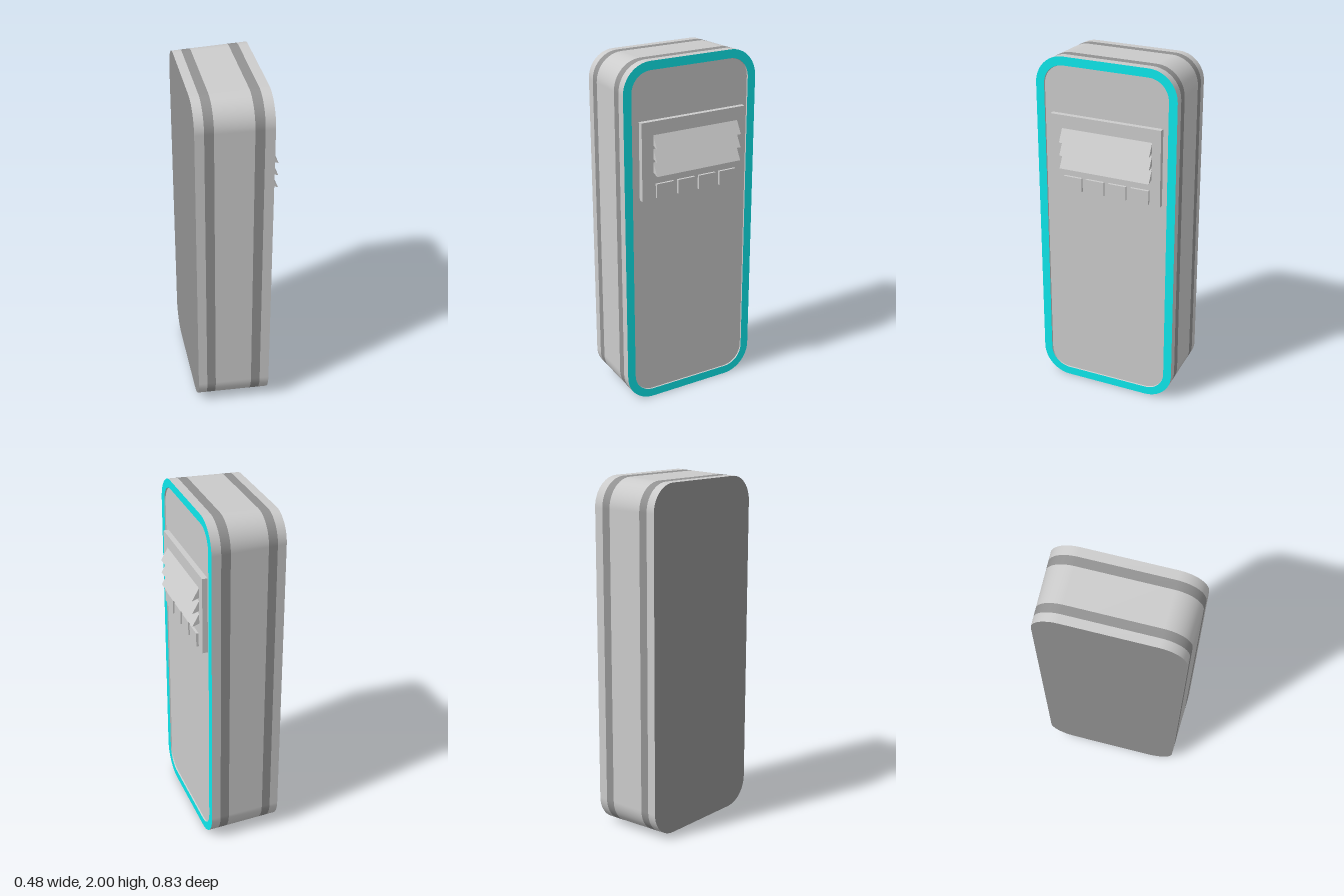
import * as THREE from 'three';

const BACK = -0.24, FRONT = 0.175, PANEL = 0.168;
const grey = new THREE.MeshStandardMaterial({ color: 0xcccccc });
const dark = new THREE.MeshStandardMaterial({ color: 0x929292 });
const cyan = new THREE.MeshStandardMaterial({ color: 0x0ee8ec });
const inner = new THREE.MeshStandardMaterial({ color: 0xcccccc, side: THREE.DoubleSide });

// Rounded rectangle outline, counter-clockwise, centred on the origin
function outline(inset, radius = 0.165 - inset) {
  const w = 0.415 - inset - radius, h = 1 - inset - radius, pts = [], n = 12;
  [[w, h], [-w, h], [-w, -h], [w, -h]].forEach(([cx, cy], q) => {
    for (let i = 0; i <= n; i++) {
      const a = (q + i / n) * Math.PI / 2;
      pts.push(new THREE.Vector2(cx + radius * Math.cos(a), cy + radius * Math.sin(a)));
    }
  });
  return pts;
}

// Wall between two outlines standing at x0 and x1
function wall(x0, inset0, x1, inset1) {
  const pos = [], index = [], a = outline(inset0), b = outline(inset1), n = a.length;
  a.forEach((p) => pos.push(x0, p.y + 1, -p.x));
  b.forEach((p) => pos.push(x1, p.y + 1, -p.x));
  for (let i = 0; i < n; i++) {
    const j = (i + 1) % n;
    index.push(i, j, n + j, i, n + j, n + i);
  }
  const g = new THREE.BufferGeometry();
  g.setAttribute('position', new THREE.Float32BufferAttribute(pos, 3));
  g.setIndex(index);
  g.computeVertexNormals();
  return g;
}

// Flat face at x, looking along +x (dir 1) or -x (dir -1)
function face(x, inset, dir, holeInset) {
  const s = new THREE.Shape(outline(inset));
  if (holeInset) s.holes.push(new THREE.Path(outline(holeInset)));
  return new THREE.ShapeGeometry(s).rotateY(dir * Math.PI / 2).translate(x, 1, 0);
}

function box(x0, x1, y0, y1, z0, z1) {
  return new THREE.BoxGeometry(x1 - x0, y1 - y0, z1 - z0)
    .translate((x0 + x1) / 2, (y0 + y1) / 2, (z0 + z1) / 2);
}

export function createModel() {
  const model = new THREE.Group();
  const add = (name, geometry, material = grey) => {
    const m = new THREE.Mesh(geometry, material);
    m.name = name;
    model.add(m);
  };

  // Tapered shell with two dark flush bands
  const taper = (x) => 0.015 * (FRONT - x) / (FRONT - BACK);
  const stops = [BACK, -0.19, -0.14, 0.07, 0.122, FRONT];
  for (let i = 0; i < 5; i++) {
    const [a, b] = [stops[i], stops[i + 1]];
    add(i % 2 ? 'shellBand' : 'shell', wall(a, taper(a), b, taper(b)), i % 2 ? dark : grey);
  }
  add('backCover', face(BACK, taper(BACK), -1), dark);

  // Coloured rim around a slightly recessed door panel
  add('rim', face(FRONT, 0, 1, 0.049), cyan);
  add('recessEdge', wall(PANEL, 0.051, FRONT, 0.049), inner);
  add('doorPanel', face(PANEL, 0.051, 1));

  // Vent plate
  add('ventPlate', box(PANEL, 0.198, 1.24, 1.68, -0.335, 0.32));

  // Three downward louvers
  for (let i = 0; i < 3; i++) {
    const top = 1.61 - i * 0.076;
    const s = new THREE.Shape([
      new THREE.Vector2(0.195, top),
      new THREE.Vector2(0.195, top - 0.062),
      new THREE.Vector2(0.238, top - 0.076),
    ]);
    const g = new THREE.ExtrudeGeometry(s, { depth: 0.535, bevelEnabled: false });
    add('louver', g.translate(0, 0, -0.285));
  }

  // Row of four buttons
  for (let i = 0; i < 4; i++) {
    const z = 0.183 - i * 0.134;
    add('button', box(0.19, 0.212, 1.25, 1.33, z - 0.054, z + 0.054));
  }
  return model;
}
